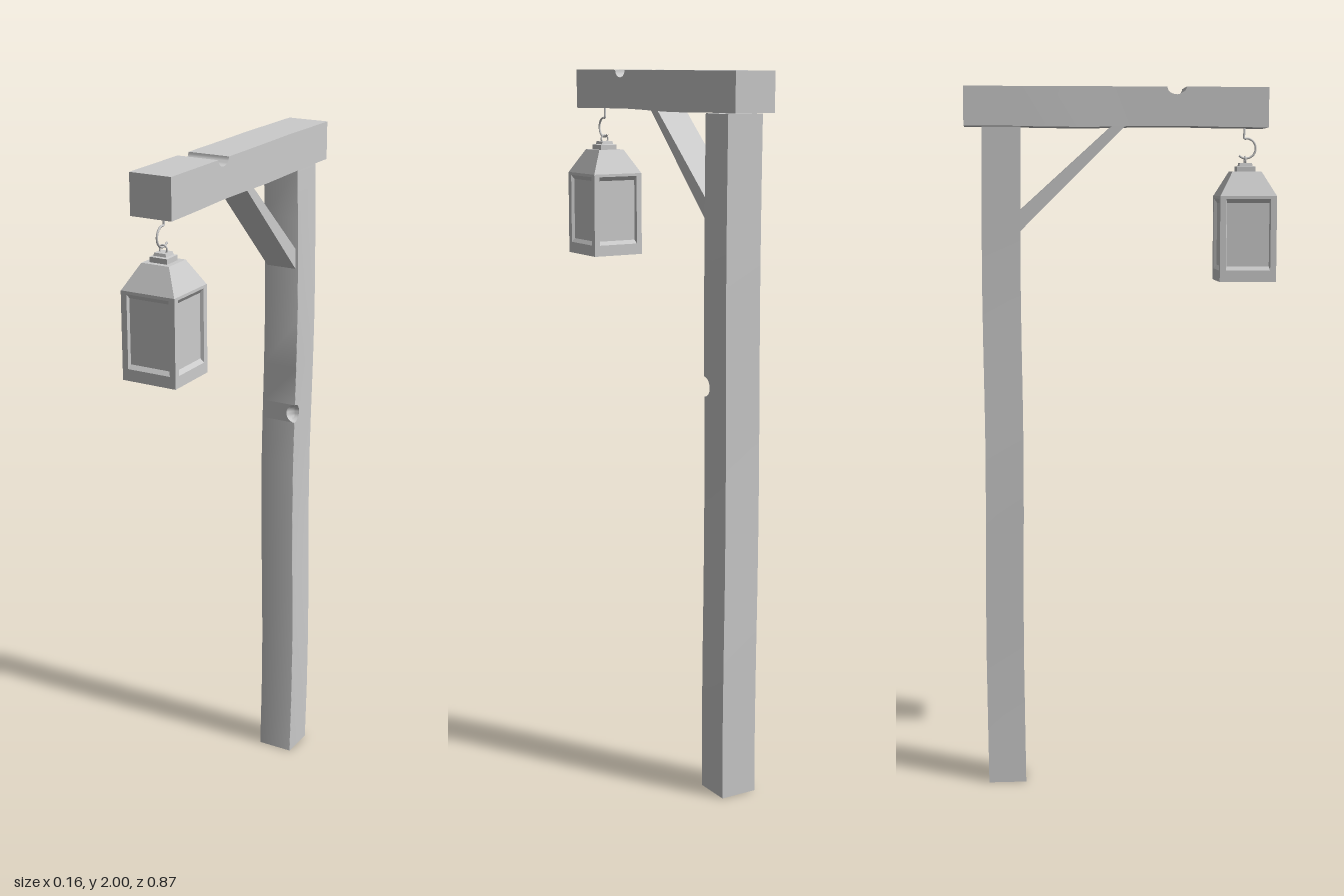
import * as THREE from 'three';
import { toCreasedNormals } from 'three/addons/utils/BufferGeometryUtils.js';

const material = new THREE.MeshStandardMaterial({ color: 0xcccccc });

function mesh(name, geometry) {
  const m = new THREE.Mesh(geometry, material);
  m.name = name;
  return m;
}

// Skin a row of closed rings; rings turn counter-clockwise about the direction of travel
function loft(rings, capStart = true) {
  const out = [];
  const tri = (...pts) => pts.forEach((p) => out.push(...p));
  const cap = (ring, flip) => {
    const c = [0, 1, 2].map((k) => ring.reduce((s, p) => s + p[k], 0) / ring.length);
    ring.forEach((p, j) => {
      const q = ring[(j + 1) % ring.length];
      if (flip) tri(c, q, p); else tri(c, p, q);
    });
  };
  for (let i = 0; i + 1 < rings.length; i++) {
    const n = rings[i].length;
    for (let j = 0; j < n; j++) {
      const k = (j + 1) % n;
      const a = rings[i][j], b = rings[i][k], c = rings[i + 1][k], d = rings[i + 1][j];
      tri(a, b, c);
      tri(a, c, d);
    }
  }
  if (capStart) cap(rings[0], true);
  cap(rings[rings.length - 1], false);
  const g = new THREE.BufferGeometry();
  g.setAttribute('position', new THREE.Float32BufferAttribute(out, 3));
  return toCreasedNormals(g, 0.6);
}

// Upright post, slightly uneven, with a round knot hole bitten out of one corner
function createPost() {
  const chipY = 1.16, chipR = 0.028, hw = 0.054;
  const levels = [0, 0.2, 0.4, 0.6, 0.8, 1.0];
  for (let i = 0; i <= 12; i++) levels.push(chipY - chipR * Math.cos((i / 12) * Math.PI));
  levels.push(1.3, 1.45, 1.6, 1.75, 1.89);
  const rings = levels.map((y) => {
    const cx = -0.002 + 0.003 * Math.sin(y * 5.3);
    const cz = -0.333 + 0.002 * Math.sin(y * 6.1 + 2);
    const r = Math.max(0.0006, Math.sqrt(Math.max(0, chipR ** 2 - (y - chipY) ** 2)));
    const ring = [];
    for (let k = 0; k <= 8; k++) {
      const t = (k / 8) * Math.PI / 2;
      ring.push([cx + hw - r * Math.cos(t), y, cz + hw - r * Math.sin(t)]);
    }
    ring.push([cx + hw, y, cz - hw], [cx - hw, y, cz - hw], [cx - hw, y, cz + hw]);
    return ring;
  });
  return mesh('post', loft(rings));
}

// Overhead beam with a rounded groove worn across its top
function createBeam() {
  const stations = [-0.435, -0.32, -0.2, -0.08, 0.04];
  const grooveZ = 0.157, grooveW = 0.027;
  for (let i = 0; i <= 12; i++) stations.push(grooveZ - grooveW * Math.cos((i / 12) * Math.PI));
  stations.push(0.28, 0.415);
  const rings = stations.map((z) => {
    const cx = -0.004 * Math.exp(-(((z + 0.2) / 0.12) ** 2));
    const d = Math.max(0, 1 - ((z - grooveZ) / grooveW) ** 2);
    const top = 2 - 0.021 * Math.sqrt(d);
    const low = 1.891 + 0.002 * Math.sin(z * 12);
    return [[cx - 0.061, low, z], [cx + 0.061, low, z], [cx + 0.061, top, z], [cx - 0.061, top, z]];
  });
  return mesh('beam', loft(rings));
}

// Diagonal brace between post and beam
function createBrace() {
  const profile = [[1.597, -0.286], [1.655, -0.286], [1.895, -0.02], [1.895, 0.016]];
  return mesh('brace', loft([-0.046, 0.046].map((x) => profile.map(([y, z]) => [x, y, z]))));
}

// Square ring lying flat at a given height
const square = (y, h) => [[h, y, h], [h, y, -h], [-h, y, -h], [-h, y, h]];

function createLantern() {
  const g = new THREE.Group();
  g.name = 'lantern';
  g.position.z = 0.358;

  // Four walls, each with a recessed pane and sloped frame edges
  const rect = (h, y0, y1, z) => [[-h, y0, z], [h, y0, z], [h, y1, z], [-h, y1, z]];
  const wall = loft([
    rect(0.08, 1.46, 1.7, 0.08),
    rect(0.063, 1.492, 1.692, 0.08),
    rect(0.06, 1.503, 1.68, 0.071),
  ], false);
  for (let i = 0; i < 4; i++) {
    const side = mesh('lanternWall', wall);
    side.rotation.y = i * Math.PI / 2;
    g.add(side);
  }

  const floor = mesh('lanternFloor', new THREE.BoxGeometry(0.159, 0.01, 0.159));
  floor.position.y = 1.465;
  g.add(floor);

  // Tapered roof and stepped cap
  g.add(mesh('lanternRoof', loft([square(1.699, 0.08), square(1.768, 0.041)])));
  g.add(mesh('lanternCap', loft([
    square(1.766, 0.026), square(1.782, 0.026), square(1.784, 0.019), square(1.792, 0.017),
  ])));

  // Small loop on the cap that the hook passes through
  const loop = mesh('lanternLoop', new THREE.TorusGeometry(0.011, 0.0025, 8, 20));
  loop.position.y = 1.799;
  g.add(loop);
  return g;
}

// Wire hook: a short stem from the beam curling into an open ring
function createHook() {
  const pts = [new THREE.Vector3(0, 1.9, 0.355), new THREE.Vector3(0, 1.875, 0.355)];
  for (let i = 0; i <= 10; i++) {
    const a = THREE.MathUtils.degToRad(100 - 0) + (i / 10) * THREE.MathUtils.degToRad(-235);
    pts.push(new THREE.Vector3(0, 1.833 + 0.028 * Math.sin(a), 0.36 + 0.028 * Math.cos(a)));
  }
  const curve = new THREE.CatmullRomCurve3(pts);
  return mesh('hook', new THREE.TubeGeometry(curve, 48, 0.003, 8, false));
}

export function createModel() {
  const model = new THREE.Group();
  model.name = 'lanternPost';
  model.add(createPost(), createBeam(), createBrace(), createHook(), createLantern());
  return model;
}
